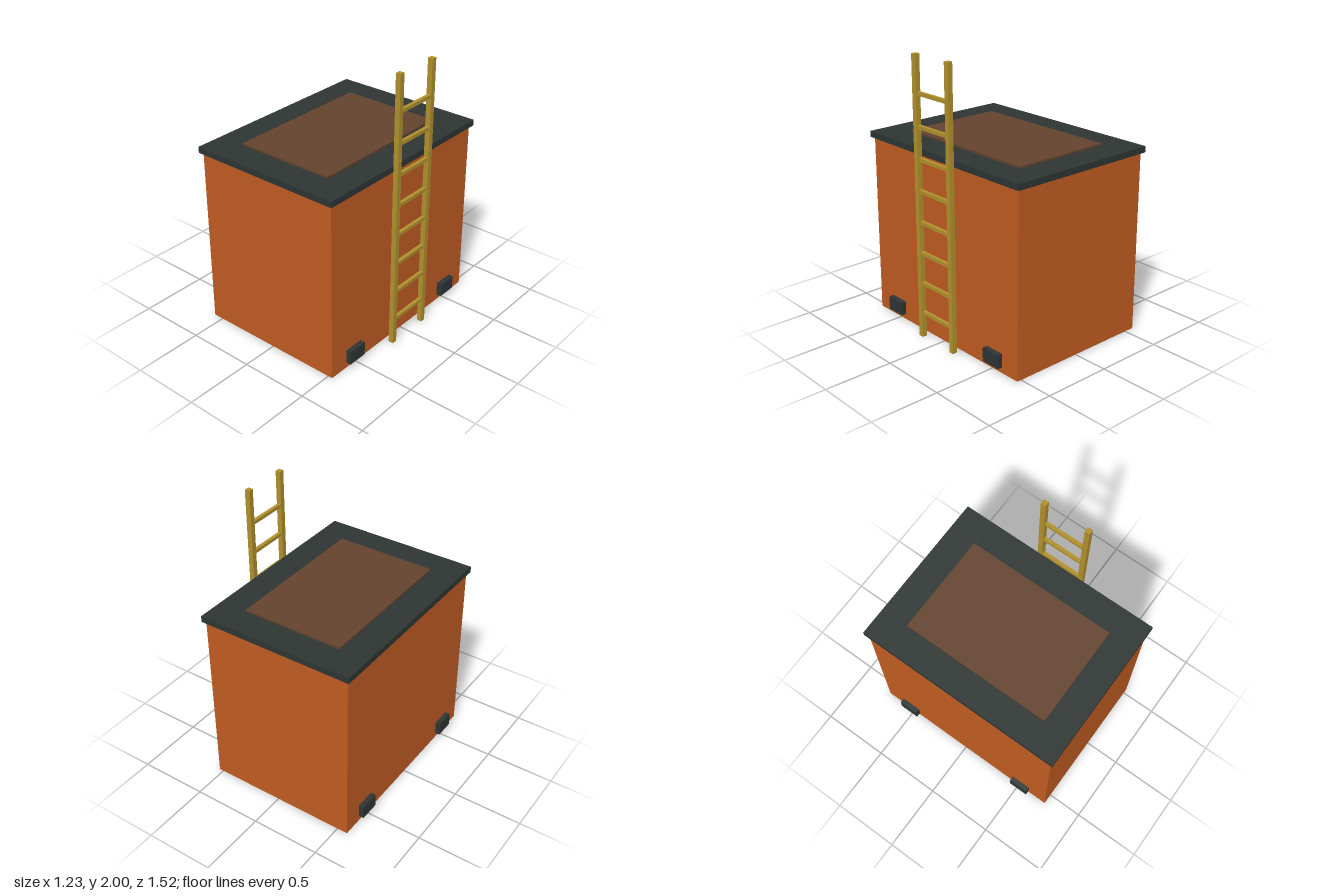
import * as THREE from 'three';

const paint = (name, color) => {
  const m = new THREE.MeshStandardMaterial({ color });
  m.name = name;
  return m;
};

export function createModel() {
  const orange = paint('orange', 0xbf5b21);
  const slate = paint('dark slate', 0x2d3533);
  const brown = paint('brown', 0x63432d);
  const yellow = paint('ladder yellow', 0xb08f2c);

  const model = new THREE.Group();
  model.name = 'tank';

  // Box given by its size and centre
  const box = (parent, name, material, [w, h, d], [x, y, z]) => {
    const mesh = new THREE.Mesh(new THREE.BoxGeometry(w, h, d), material);
    mesh.name = name;
    mesh.position.set(x, y, z);
    parent.add(mesh);
  };

  // Body, overhanging lid and raised hatch; the ladder pushes them off centre
  const cx = -0.022;
  box(model, 'body', orange, [1.11, 1.307, 1.48], [cx, 0.6535, 0]);
  box(model, 'lid', slate, [1.152, 0.044, 1.524], [cx, 1.329, 0]);
  box(model, 'hatch', brown, [0.74, 0.03, 1.11], [cx, 1.35, 0]);

  // Lifting blocks low on both long sides
  for (const side of [-1, 1]) {
    for (const end of [-1, 1]) {
      box(model, 'liftingBlock', slate, [0.074, 0.1, 0.148], [cx + side * 0.555, 0.091, end * 0.518]);
    }
  }

  // Ladder standing just off the left side
  const ladder = new THREE.Group();
  ladder.name = 'ladder';
  ladder.position.x = 0.593;
  model.add(ladder);
  for (const side of [-1, 1]) {
    box(ladder, 'ladderRail', yellow, [0.037, 2, 0.037], [0, 1, side * 0.165]);
  }
  for (let i = 0; i < 8; i++) {
    box(ladder, 'ladderRung', yellow, [0.025, 0.025, 0.3], [0, 0.185 + i * 0.2225, 0]);
  }
  return model;
}
